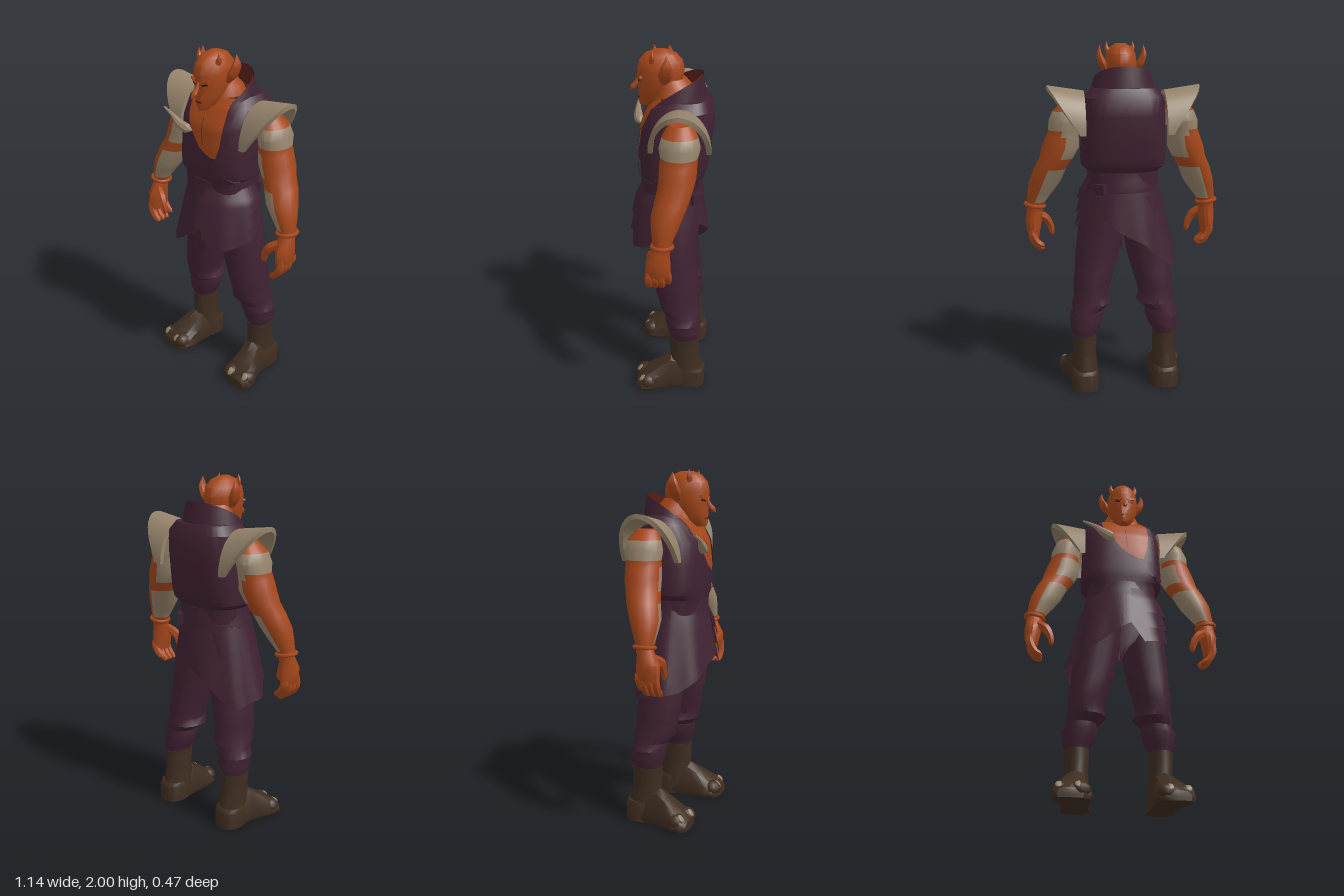
import * as THREE from 'three';
import { toCreasedNormals } from 'three/addons/utils/BufferGeometryUtils.js';

const mat = (name, color) => new THREE.MeshStandardMaterial({ name, color, side: THREE.DoubleSide });

// Linear lookup in rows of [key, ...values]
function lookup(table, k) {
  let i = 1;
  while (i < table.length - 1 && table[i][0] < k) i++;
  const a = table[i - 1], b = table[i];
  const t = THREE.MathUtils.clamp((k - a[0]) / (b[0] - a[0]), 0, 1);
  return a.slice(1).map((v, j) => v + (b[j + 1] - v) * t);
}

// Surface from fn(i, j); pick(i, j) chooses a material slot for each face
function grid(nu, nv, fn, pick = () => 0) {
  const pos = [], slots = [[], []];
  for (let i = 0; i <= nu; i++) for (let j = 0; j <= nv; j++) pos.push(...fn(i, j));
  for (let i = 0; i < nu; i++) for (let j = 0; j < nv; j++) {
    const a = i * (nv + 1) + j, b = a + nv + 1;
    slots[pick(i, j)].push(a, b, a + 1, b, b + 1, a + 1);
  }
  const g = new THREE.BufferGeometry();
  g.setAttribute('position', new THREE.Float32BufferAttribute(pos, 3));
  g.setIndex(slots.flat());
  if (slots[1].length) {
    g.addGroup(0, slots[0].length, 0);
    g.addGroup(slots[0].length, slots[1].length, 1);
  }
  return toCreasedNormals(g, 0.6);
}

// Closed body from horizontal rings [y, x, z, rx, rz], bottom to top
function loft(rings, s = 1, n = 16, p = 2, pick) {
  const first = rings[0], last = rings[rings.length - 1];
  const all = [[...first.slice(0, 3), 0, 0], ...rings, [...last.slice(0, 3), 0, 0]];
  const pw = v => Math.sign(v) * Math.abs(v) ** (2 / p);
  return grid(all.length - 1, n, (i, j) => {
    const [y, x, z, rx, rz] = all[i], a = ((j % n) / n) * Math.PI * 2;
    return [s * x + rx * pw(Math.cos(a)), y, z + rz * pw(Math.sin(a))];
  }, pick && ((i, j) => pick((all[i][0] + all[i + 1][0]) / 2, ((j + 0.5) / n) * Math.PI * 2)));
}

// Tapering tube along points [x, y, z, radius], widened by zs in z
function taper(pts, s = 1, zs = 1, n = 8) {
  const curve = new THREE.CatmullRomCurve3(pts.map(p => new THREE.Vector3(s * p[0], p[1], p[2])));
  const seg = 14, g = new THREE.TubeGeometry(curve, seg, 1, n), P = g.attributes.position;
  const v = new THREE.Vector3();
  const total = curve.getLength(), lengths = curve.getLengths(200);
  const radii = pts.map((p, i) => [lengths[Math.round(200 * i / (pts.length - 1))] / total, p[3]]);
  for (let k = 0; k < P.count; k++) {
    const t = Math.floor(k / (n + 1)) / seg, c = curve.getPointAt(t);
    v.fromBufferAttribute(P, k).sub(c).multiplyScalar(lookup(radii, t)[0]);
    P.setXYZ(k, c.x + v.x, c.y + v.y, c.z + v.z * zs);
  }
  return toCreasedNormals(g, 0.6);
}

const torsoPower = 2.9;
const torso = [
  [1.2, 0, 0, 0.198, 0.16], [1.285, 0, 0, 0.2, 0.165], [1.315, 0, -0.01, 0.238, 0.18],
  [1.36, 0, -0.015, 0.242, 0.188], [1.48, 0, -0.025, 0.237, 0.196], [1.6, 0, -0.038, 0.233, 0.198],
  [1.7, 0, -0.06, 0.225, 0.168], [1.75, 0, -0.07, 0.18, 0.13]];

// Thin panel on the chest front between x edges given by rows [y, left, right]
function chestPanel(rows, lift) {
  const y0 = rows[0][0], y1 = rows[rows.length - 1][0];
  return grid(16, 10, (i, j) => {
    const y = y0 + (y1 - y0) * i / 16, [xl, xr] = lookup(rows, y), x = xl + (xr - xl) * (1 - j / 10);
    const [, z, rx, rz] = lookup(torso, y);
    return [x, y, z + rz * Math.max(0, 1 - Math.abs(x / rx) ** torsoPower) ** (1 / torsoPower) + lift];
  });
}

export function createModel() {
  const model = new THREE.Group();
  const skin = mat('orange skin', 0xa5471a), cloth = mat('purple cloth', 0x402232),
    cream = mat('cream hide', 0x95836b), leather = mat('brown leather', 0x3e2d20),
    lining = mat('maroon lining', 0x5e2019), dark = mat('dark detail', 0x2a1510);
  const add = (name, geo, m, x = 0, y = 0, z = 0) => {
    const mesh = new THREE.Mesh(geo, m);
    mesh.name = name;
    mesh.position.set(x, y, z);
    model.add(mesh);
    return mesh;
  };

  // Head, thick neck and face
  add('head', loft([[1.685, 0, 0.145, 0.022, 0.03], [1.71, 0, 0.11, 0.046, 0.073], [1.76, 0, 0.08, 0.072, 0.104],
    [1.82, 0, 0.063, 0.088, 0.122], [1.88, 0, 0.06, 0.092, 0.13], [1.93, 0, 0.06, 0.085, 0.12],
    [1.97, 0, 0.06, 0.06, 0.085], [1.99, 0, 0.06, 0.025, 0.035]], 1, 14), skin);
  add('neck', loft([[1.5, 0, -0.01, 0.13, 0.14], [1.66, 0, -0.015, 0.14, 0.135], [1.74, 0, -0.015, 0.132, 0.12],
    [1.79, 0, -0.015, 0.105, 0.105], [1.84, 0, 0.01, 0.075, 0.085]], 1, 14), skin);
  add('nose', taper([[0, 1.85, 0.178, 0.006], [0, 1.81, 0.192, 0.012], [0, 1.78, 0.215, 0.016], [0, 1.762, 0.235, 0]]), skin);
  add('mouth', new THREE.BoxGeometry(0.04, 0.005, 0.008), dark, 0, 1.733, 0.18);

  // Vest with open neck
  add('vest', loft(torso, 1, 28, torsoPower), cloth);
  add('chest', chestPanel([[1.435, 0.075, 0.115], [1.47, 0, 0.135], [1.56, -0.07, 0.145], [1.65, -0.12, 0.15], [1.75, -0.135, 0.14]], 0.008), skin);
  add('chestLine', chestPanel([[1.5, 0.02, 0.024], [1.56, 0.012, 0.016], [1.64, 0.005, 0.009]], 0.011), lining);
  add('rightLapel', chestPanel([[1.3, 0.2, 0.215], [1.435, 0.035, 0.075], [1.47, -0.04, 0], [1.56, -0.11, -0.07], [1.65, -0.155, -0.12], [1.74, -0.165, -0.135]], 0.016), cloth);
  add('leftLapel', chestPanel([[1.42, 0.11, 0.17], [1.5, 0.137, 0.18], [1.6, 0.148, 0.185], [1.74, 0.14, 0.165]], 0.014), cloth);

  // Standing collar, with a lining just inside it
  const collar = inset => grid(24, 4, (i, j) => {
    const u = i / 12 - 1, t = j / 4, a = u * 2.3, r = 0.2 - 0.035 * t - inset;
    const y = (1.69 - 0.08 * u * u) * (1 - t) + (1.868 - 0.16 * u * u) * t;
    return [r * Math.sin(a), y, -0.012 - r * (0.93 + 0.03 * t) * Math.cos(a)];
  });
  add('collar', collar(0), cloth);
  add('collarLining', collar(0.009), lining);

  // Fang pinned on the chest
  add('fang', taper([[-0.055, 1.555, 0.175, 0], [-0.085, 1.565, 0.19, 0.03], [-0.13, 1.585, 0.2, 0.024],
    [-0.18, 1.62, 0.203, 0.012], [-0.25, 1.65, 0.2, 0.006]]), cream);

  // Sash and wrapped skirt with an uneven hem
  add('sash', loft([[1.17, 0, 0, 0.218, 0.182], [1.2, 0, 0, 0.214, 0.182], [1.24, 0, 0, 0.205, 0.174],
    [1.28, 0, 0, 0.203, 0.172]], 1, 28), cloth);
  const knot = add('sashKnot', new THREE.BoxGeometry(0.07, 0.06, 0.03), cloth, 0.145, 1.19, -0.145);
  knot.rotation.y = -Math.PI / 4;
  const wrap = (name, hem, a0, a1, lift) => add(name, grid(48, 8, (i, j) => {
    const deg = a0 + (a1 - a0) * i / 48, a = deg * Math.PI / 180;
    const y = 1.25 + (lookup(hem, deg)[0] - 1.25) * j / 8, d = 1.25 - y;
    const fold = 1 + 0.07 * d * Math.sin(a * 9) + lift * Math.min(1, d * 12);
    const flare = 0.14 + 0.07 * Math.max(0, Math.cos(a - 1.2));
    return [(0.2 + 0.24 * d) * fold * Math.cos(a), y, (0.168 + flare * d) * fold * Math.sin(a)];
  }), cloth);
  wrap('skirt', [[0, 0.97], [20, 0.93], [72, 0.87], [78, 1.0], [95, 0.96], [110, 0.9], [125, 0.85], [150, 0.78], [185, 0.755],
    [215, 0.73], [235, 0.8], [250, 0.88], [275, 0.94], [300, 1.02], [335, 1.06], [360, 0.97]], 0, 360, 0);
  wrap('upperTier', [[-20, 1.14], [20, 1.1], [80, 1.06]], -20, 80, 0.12);
  wrap('lowerTier', [[-10, 1.06], [30, 1.0], [78, 0.95]], -10, 78, 0.06);
  wrap('frontOverlap', [[88, 0.97], [110, 0.91], [140, 0.84], [165, 0.82]], 88, 165, 0.03);

  // Pointed cloth end hanging between the legs
  add('hangingTail', grid(6, 2, (i, j) => {
    const t = i / 6, [left, right] = lookup([[0, -0.01, 0.08], [0.55, -0.025, 0.085], [1, -0.025, -0.01]], t);
    return [left + (right - left) * j / 2, 1.1 - (0.36 - 0.04 * j * t) * t, 0.178 - 0.012 * t + (j === 1 ? 0.01 : 0)];
  }), cloth);

  for (const s of [1, -1]) {
    const side = s > 0 ? 'left' : 'right';

    // Eyes, brows, ears and small horns
    const eye = add(side + 'Eye', new THREE.BoxGeometry(0.03, 0.009, 0.009), dark, s * 0.037, 1.83, 0.171);
    eye.rotation.set(0, s * 0.4, s * 0.2);
    const brow = add(side + 'Brow', new THREE.BoxGeometry(0.055, 0.012, 0.022), skin, s * 0.036, 1.847, 0.17);
    brow.rotation.set(0, s * 0.4, s * 0.25);
    add(side + 'Ear', taper([[0.08, 1.83, 0.04, 0.012], [0.105, 1.875, 0.03, 0.024], [0.125, 1.925, 0.022, 0.018], [0.123, 1.985, 0.022, 0]], s, 1.7), skin);
    add(side + 'Horn', taper([[0.06, 1.93, 0.1, 0.02], [0.075, 1.965, 0.1, 0.013], [0.073, 2, 0.1, 0]], s), skin);

    // Shoulder guard: a flared arch, widest at the top
    const section = [[0, 0], [1, 0], [1, -0.026], [0, -0.026], [0, 0]];
    add(side + 'ShoulderGuard', grid(20, 4, (i, j) => {
      const a = Math.PI * i / 20, [t, off] = section[j], sn = Math.sin(a);
      const r = 0.235 + 0.03 * t + off;
      return [s * (0.225 + t * (0.032 + 0.172 * sn)), 1.5 + r * sn, -0.055 + (0.168 + off) * Math.cos(a)];
    }), cream);

    // Arm: cream on the shoulder cap and along the inner side
    const armPick = (y, a) => {
      const c = Math.cos(a) * s, f = Math.sin(a);
      if (y > 1.53) return y < 1.64 ? 1 : 0;
      if (y > 1.5) return c > 0.2 || f > 0.3 ? 0 : 1;
      if (y > 1.37) return c < (f > 0 ? 0 : -0.1) ? 1 : 0;
      return y > 1.1 && y < 1.3 && c < 0.2 ? 1 : 0;
    };
    add(side + 'Arm', loft([[1.05, 0.505, 0.02, 0.045, 0.045], [1.1, 0.498, 0.02, 0.053, 0.052], [1.16, 0.472, 0.01, 0.073, 0.07],
      [1.22, 0.446, 0, 0.09, 0.085], [1.3, 0.415, -0.025, 0.092, 0.092], [1.36, 0.38, -0.042, 0.096, 0.095],
      [1.42, 0.357, -0.052, 0.105, 0.1], [1.485, 0.345, -0.055, 0.092, 0.1], [1.52, 0.337, -0.058, 0.086, 0.1],
      [1.57, 0.333, -0.06, 0.088, 0.11], [1.625, 0.32, -0.06, 0.078, 0.095], [1.68, 0.28, -0.06, 0.06, 0.06]],
      s, 18, 2, armPick), [skin, cream]);
    const band = add(side + 'Bracelet', new THREE.TorusGeometry(0.054, 0.012, 6, 16), skin, s * 0.505, 1.08, 0.02);
    band.rotation.set(Math.PI / 2, s * 0.15, 0);

    // Hand with curled fingers
    add(side + 'Palm', loft([[0.88, 0.51, 0.04, 0.025, 0.06], [0.93, 0.515, 0.042, 0.04, 0.068], [0.99, 0.512, 0.042, 0.048, 0.066],
      [1.04, 0.508, 0.03, 0.046, 0.05], [1.08, 0.505, 0.02, 0.044, 0.044]], s, 12), skin);
    for (let f = 0; f < 4; f++) {
      const z = -0.01 + f * 0.034, dy = f === 0 ? 0.025 : 0;
      add(side + 'Finger', taper([[0.525, 0.94, z, 0.018], [0.522, 0.885 + dy, z, 0.023], [0.495, 0.84 + dy, z, 0.021],
        [0.465, 0.82 + dy, z, 0.018], [0.452, 0.815 + dy, z, 0]], s, 1, 6), skin);
    }
    add(side + 'Thumb', taper([[0.49, 1.02, 0.06, 0.025], [0.44, 0.985, 0.085, 0.028], [0.412, 0.935, 0.09, 0.021],
      [0.405, 0.895, 0.088, 0.016], [0.404, 0.88, 0.086, 0]], s, 1, 6), skin);

    // Trouser leg, bunched above the boot
    add(side + 'Trouser', loft([[0.3, 0.235, -0.09, 0.064, 0.083], [0.34, 0.237, -0.09, 0.07, 0.088], [0.37, 0.232, -0.087, 0.088, 0.098],
      [0.4, 0.226, -0.083, 0.09, 0.098], [0.43, 0.223, -0.08, 0.1, 0.104], [0.47, 0.215, -0.075, 0.088, 0.1],
      [0.51, 0.19, -0.06, 0.115, 0.12], [0.55, 0.192, -0.052, 0.1, 0.118], [0.6, 0.188, -0.045, 0.107, 0.127],
      [0.7, 0.168, -0.035, 0.116, 0.126], [0.8, 0.15, -0.028, 0.128, 0.124], [0.95, 0.13, -0.02, 0.13, 0.14],
      [1.15, 0.1, -0.01, 0.11, 0.15]], s, 16), cloth);

    // Boot: shaft, heel, foot and two clawed toes
    add(side + 'BootShaft', loft([[0.05, 0.235, -0.1, 0.078, 0.1], [0.13, 0.235, -0.098, 0.072, 0.1], [0.2, 0.235, -0.092, 0.066, 0.088],
      [0.325, 0.236, -0.09, 0.07, 0.09]], s, 14), leather);
    add(side + 'Heel', loft([[0, 0.238, -0.125, 0.08, 0.09], [0.1, 0.238, -0.125, 0.08, 0.09], [0.12, 0.238, -0.123, 0.072, 0.08]], s, 14, 2.6), leather);
    // Stations run from toe to heel: z, x, half width, height
    const foot = [[0.195, 0.28, 0, 0.03], [0.19, 0.28, 0.07, 0.055], [0.16, 0.274, 0.103, 0.085], [0.11, 0.266, 0.108, 0.118],
      [0.05, 0.255, 0.09, 0.16], [-0.01, 0.243, 0.08, 0.2], [-0.1, 0.238, 0.078, 0.18], [-0.17, 0.238, 0.06, 0.1], [-0.18, 0.238, 0, 0.05]];
    add(side + 'Foot', grid(foot.length - 1, 12, (i, j) => {
      const [z, x, w, h] = foot[i], a = (j % 12) / 12 * Math.PI * 2, up = Math.sin(a);
      return [s * x + w * Math.sign(Math.cos(a)) * Math.abs(Math.cos(a)) ** 0.7, up < 0 ? 0 : 0.02 + (h - 0.02) * up, z];
    }), leather);
    for (const [x, z, r] of [[0.225, 0.145, 0.055], [0.325, 0.125, 0.053]]) {
      const toe = add(side + 'Toe', new THREE.SphereGeometry(r, 12, 8), leather, s * x, 0.05, z);
      toe.scale.set(1, 0.88, 1);
      const claw = add(side + 'Claw', new THREE.SphereGeometry(0.026, 8, 6), cream, s * (x + 0.012), 0.075, z + 0.034);
      claw.scale.set(0.85, 0.35, 1);
      claw.rotation.x = 0.85;
    }
  }
  return model;
}
